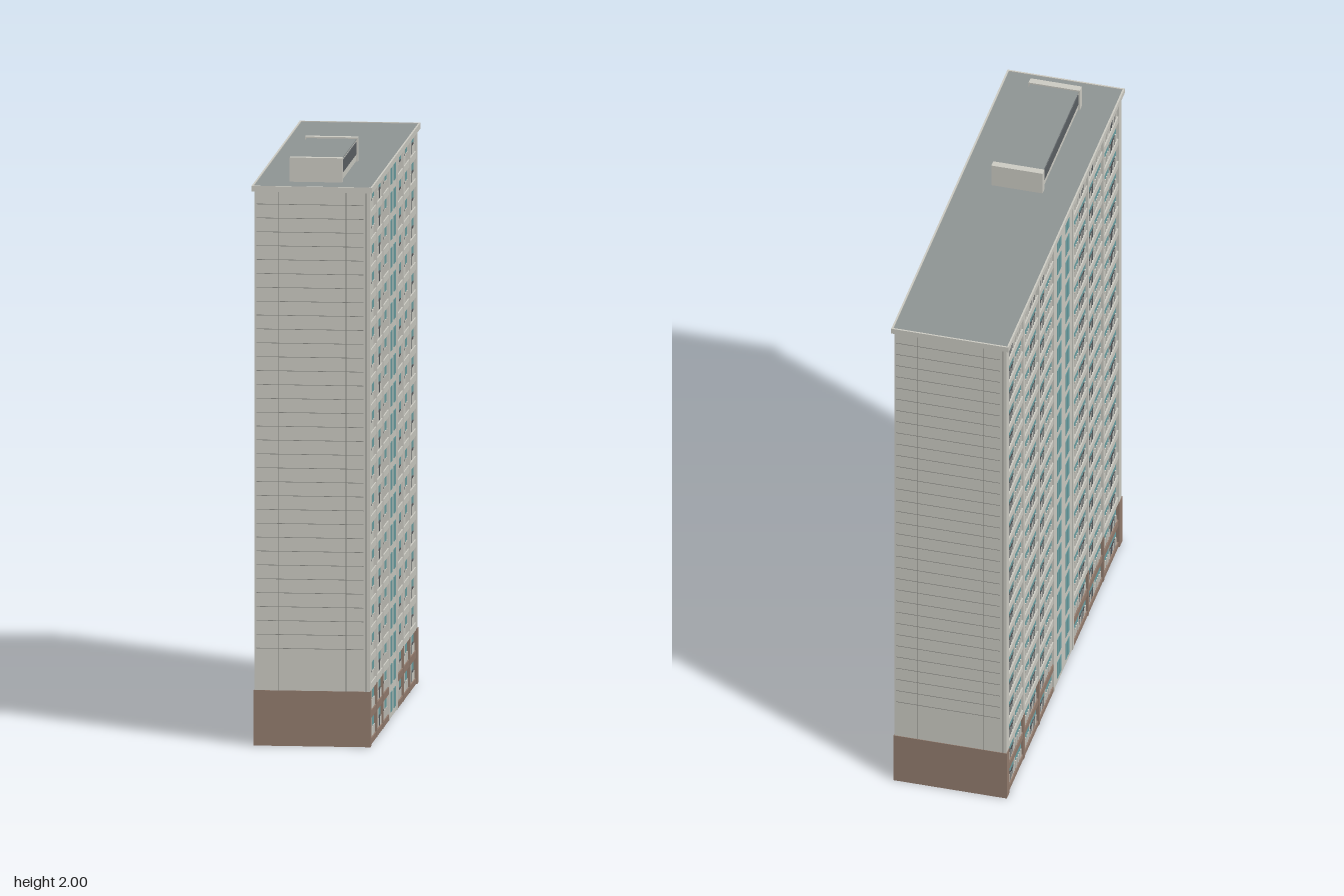
import * as THREE from 'three';
import { mergeGeometries } from 'three/addons/utils/BufferGeometryUtils.js';

const mat = (name, color) => {
  const m = new THREE.MeshStandardMaterial({ color });
  m.name = name;
  return m;
};

const FLOORS = 20, PITCH = 0.0952, BASE = 0.19, TOP = 1.902;
const BODY_X = 0.182, FACE_X = 0.197, END_Z = 0.75;
const BAY_IN = 0.122, BAY_OUT = 0.716, BAYS = 3;

// Box given by its minimum and maximum on each axis
function span(x0, x1, y0, y1, z0, z1) {
  const g = new THREE.BoxGeometry(x1 - x0, y1 - y0, z1 - z0);
  return g.translate((x0 + x1) / 2, (y0 + y1) / 2, (z0 + z1) / 2);
}

export function createModel() {
  const wall = mat('off-white wall', 0xcdccc4);
  const brown = mat('brown plinth', 0x947d6f);
  const glass = mat('teal glass', 0x6ba1a4);
  const roofGrey = mat('grey roof', 0x8f9594);
  const dark = mat('dark louvre', 0x5b6064);
  const seam = mat('grey seam', 0x8d8d88);

  // Everything is collected by part name, then merged to one mesh per part
  const parts = new Map();
  const add = (name, material, ...geos) => {
    if (!parts.has(name)) parts.set(name, { material, geos: [] });
    parts.get(name).geos.push(...geos);
  };

  add('innerBody', wall, span(-BODY_X, BODY_X, 0, TOP, -BAY_OUT, BAY_OUT));

  // One half of the symmetrical tower; the other is turned half round
  for (const turn of [0, Math.PI]) {
    const put = (name, material, ...box) => add(name, material, span(...box).rotateY(turn));

    // End wall with brown base, panel joints
    put('endWall', wall, -FACE_X, FACE_X, BASE, TOP, BAY_OUT, END_Z);
    put('endWallBase', brown, -FACE_X - 0.002, FACE_X + 0.002, 0, BASE, BAY_OUT, END_Z + 0.002);
    for (let i = 7; i < FLOORS * 2; i++) {
      const y = i * PITCH / 2;
      put('panelJoints', seam, -0.19, 0.175, y, y + 0.002, END_Z, END_Z + 0.001);
    }
    for (const x of [-0.115, 0.115])
      put('panelJoints', seam, x, x + 0.002, BASE, TOP, END_Z, END_Z + 0.001);
    put('panelJoints', seam, 0.183, 0.186, BASE, TOP, END_Z, END_Z + 0.001);

    // Stair core with paired windows on every floor
    put('stairCore', wall, BODY_X, FACE_X - 0.003, 0, TOP, -BAY_IN, BAY_IN);
    for (let f = 0; f < FLOORS; f++)
      for (const c of [-0.052, 0.054])
        for (const s of [-1, 1]) {
          const z = c + s * 0.0135;
          put('coreWindows', glass, FACE_X - 0.003, FACE_X - 0.001,
            f * PITCH + 0.02, f * PITCH + 0.088, z - 0.011, z + 0.011);
        }

    // Window bays either side of the core
    for (const side of [-1, 1]) {
      const zSpan = (a, b) => side > 0 ? [a, b] : [-b, -a];
      put('bayGlass', glass, BODY_X, BODY_X + 0.005, 0, TOP, ...zSpan(BAY_IN, BAY_OUT));

      // Floor bands
      for (let f = 0; f <= FLOORS; f++) {
        const y0 = Math.max(0, f * PITCH - 0.005);
        const y1 = Math.min(TOP, f * PITCH + 0.02);
        put(f < 2 ? 'lowerFloorBands' : 'floorBands', f < 2 ? brown : wall,
          BODY_X, FACE_X - 0.002, y0, y1, ...zSpan(BAY_IN, BAY_OUT));
      }

      const width = (BAY_OUT - BAY_IN) / BAYS;
      for (let b = 0; b < BAYS; b++) {
        const start = BAY_IN + b * width;
        // Pier on the inner edge of the bay
        const pier = zSpan(start - 0.007, start + 0.007);
        put('piers', wall, BODY_X, FACE_X, b ? BASE : 0, TOP, ...pier);
        if (b) put('lowerPiers', brown, BODY_X, FACE_X, 0, BASE, ...pier);

        for (let f = 0; f < FLOORS; f++) {
          const y0 = f * PITCH + 0.02, y1 = f * PITCH + 0.09, rail = y0 + 0.03;
          // Balcony pickets
          for (let k = 1; k < 12; k++) {
            const z = start + width * k / 12;
            put('pickets', wall, BODY_X + 0.005, BODY_X + 0.009, y0, rail, ...zSpan(z - 0.003, z + 0.003));
          }
          // Window mullions
          const half = start + width * 0.5;
          put('mullions', wall, BODY_X + 0.005, BODY_X + 0.008, y0, y1, ...zSpan(half - 0.0025, half + 0.0025));
          // Dark grille bars in one part of the bay
          for (let k = 0; k < 4; k++) {
            const z = start + width * (b === 1 ? 0.29 : 0.71) + (k - 1.5) * width / 12;
            put('grilleBars', dark, BODY_X + 0.005, BODY_X + 0.008, y0, rail + 0.005, ...zSpan(z - 0.0035, z + 0.0035));
          }
        }
      }
    }
  }

  // Cornice rim and roof
  const CX = 0.206, CZ = 0.757, RIM = 0.006, RY = 1.92;
  for (const s of [-1, 1]) {
    const x = s * (CX - RIM / 2), z = s * (CZ - RIM / 2);
    add('cornice', wall,
      span(x - RIM / 2, x + RIM / 2, 1.9, RY, -CZ, CZ),
      span(-CX + RIM, CX - RIM, 1.9, RY, z - RIM / 2, z + RIM / 2));
  }
  add('corniceSoffit', wall, span(-CX + RIM, CX - RIM, 1.9, 1.904, -CZ + RIM, CZ - RIM));
  add('roof', roofGrey, span(-CX + RIM, CX - RIM, 1.904, 1.917, -CZ + RIM, CZ - RIM));

  // Rooftop plant room with raised end walls and long louvres
  const P0 = 0.117, P1 = 0.627, T = 0.025;
  add('plantRoomEnds', wall,
    span(-0.09, 0.09, 1.91, 2, P0, P0 + T),
    span(-0.09, 0.09, 1.91, 2, P1 - T, P1));
  add('plantRoom', wall, span(-0.083, 0.083, 1.91, 1.99, P0 + T, P1 - T));
  add('plantRoomRoof', roofGrey, span(-0.085, 0.085, 1.99, 1.995, P0 + T, P1 - T));
  for (const s of [-1, 1])
    add('plantRoomLouvres', dark,
      span(s * 0.0845 - 0.0015, s * 0.0845 + 0.0015, 1.943, 1.984, P0 + T + 0.003, P1 - T - 0.003));

  const group = new THREE.Group();
  group.name = 'apartmentTower';
  for (const [name, { material, geos }] of parts) {
    const mesh = new THREE.Mesh(mergeGeometries(geos), material);
    mesh.name = name;
    group.add(mesh);
  }
  // The tower stands at an angle to the axes
  group.rotation.y = -0.3225;
  const model = new THREE.Group();
  model.name = 'building';
  model.add(group);
  return model;
}
